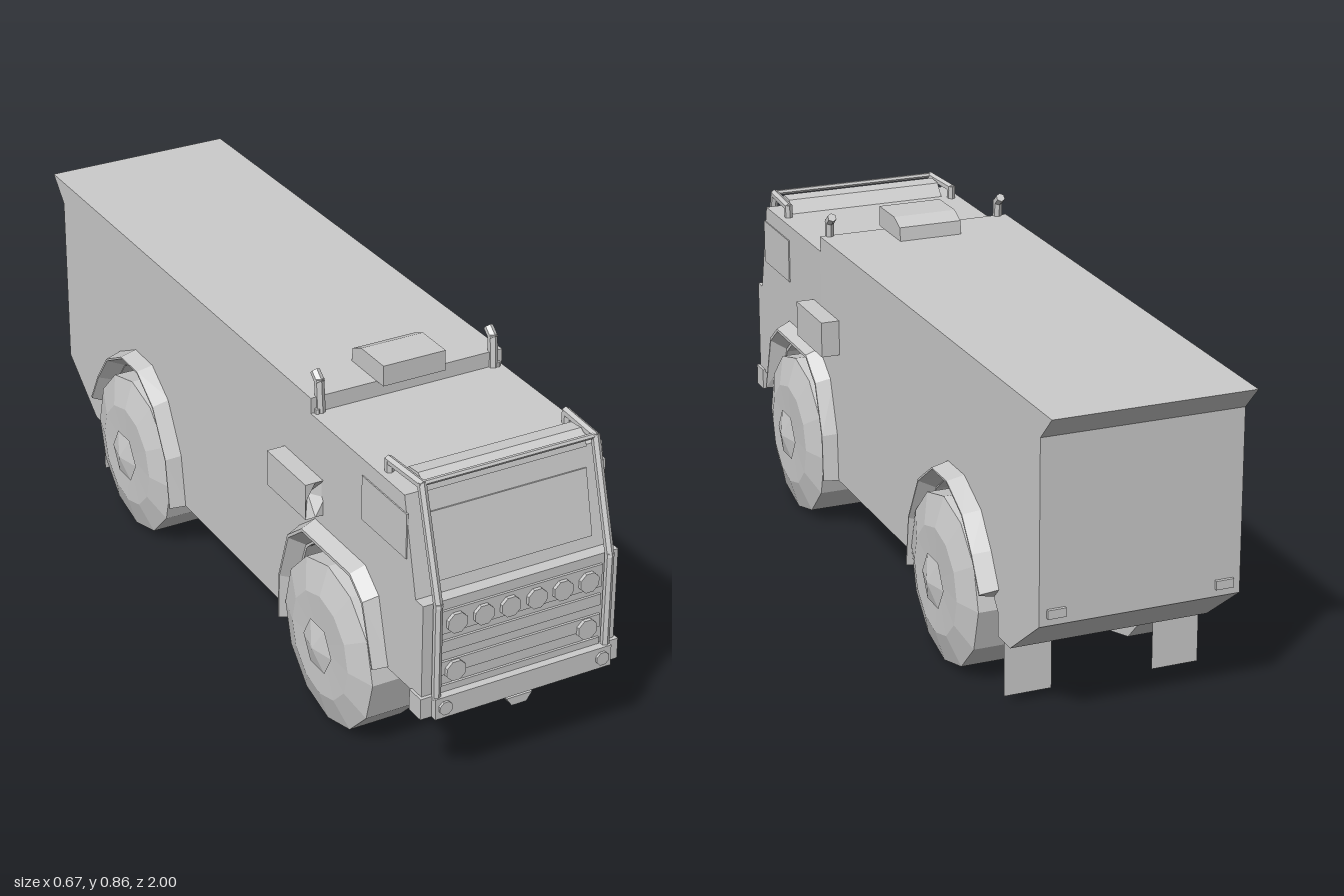
import * as THREE from 'three';

const solid = new THREE.MeshStandardMaterial({ color: 0xcccccc, flatShading: true });
const thin = new THREE.MeshStandardMaterial({ color: 0xcccccc, flatShading: true, side: THREE.DoubleSide });

// Wheel arch outlines as [z, y], running front to back
const arches = {
  front: {
    outer: [[0.82, 0.27], [0.775, 0.44], [0.71, 0.49], [0.47, 0.49], [0.39, 0.43], [0.345, 0.29], [0.34, 0.16]],
    inner: [[0.79, 0.265], [0.735, 0.39], [0.69, 0.425], [0.48, 0.425], [0.43, 0.385], [0.385, 0.27], [0.38, 0.16]],
  },
  rear: {
    outer: [[-0.23, 0.16], [-0.25, 0.3], [-0.32, 0.43], [-0.41, 0.49], [-0.51, 0.49], [-0.61, 0.44], [-0.67, 0.36], [-0.715, 0.28]],
    inner: [[-0.26, 0.16], [-0.275, 0.28], [-0.335, 0.39], [-0.42, 0.455], [-0.5, 0.455], [-0.58, 0.41], [-0.635, 0.34], [-0.685, 0.25]],
  },
};

export function createModel() {
  const model = new THREE.Group();

  const add = (name, geometry, material = solid) => {
    const mesh = new THREE.Mesh(geometry, material);
    mesh.name = name;
    model.add(mesh);
    return mesh;
  };

  const box = (name, w, h, d, x, y, z) =>
    add(name, new THREE.BoxGeometry(w, h, d).translate(x, y, z));

  // Side profile of [z, y] points, extruded across x
  const profile = (points, width) => {
    const shape = new THREE.Shape(points.map(([z, y]) => new THREE.Vector2(z, y)));
    return new THREE.ExtrudeGeometry(shape, { depth: width, bevelEnabled: false })
      .translate(0, 0, -width / 2).rotateY(-Math.PI / 2);
  };

  // Chain of straight rods through [x, y, z] points
  const rods = (name, points, radius) => {
    const group = new THREE.Group();
    group.name = name;
    for (let i = 1; i < points.length; i++) {
      const a = new THREE.Vector3(...points[i - 1]);
      const b = new THREE.Vector3(...points[i]);
      const dir = b.clone().sub(a);
      const rod = new THREE.Mesh(new THREE.CylinderGeometry(radius, radius, dir.length() + radius, 6), solid);
      rod.name = name + 'Segment';
      rod.position.copy(a).add(b).multiplyScalar(0.5);
      rod.quaternion.setFromUnitVectors(new THREE.Vector3(0, 1, 0), dir.normalize());
      group.add(rod);
    }
    model.add(group);
  };

  // Box whose front is dished to a point
  const intake = (name, w, h, d, x, y, z) => {
    const g = new THREE.BoxGeometry(w, h, d, 2, 2, 1);
    const p = g.attributes.position;
    for (let i = 0; i < p.count; i++) {
      if (Math.abs(p.getX(i)) < 1e-4 && Math.abs(p.getY(i)) < 1e-4 && p.getZ(i) > 0) p.setZ(i, d * 0.3);
    }
    add(name, g.translate(x, y, z));
  };

  // Cab
  add('cab', profile([
    [0.45, 0.757], [0.88, 0.757], [0.935, 0.515], [0.968, 0.515], [0.968, 0.27],
    ...arches.front.inner.slice(0, 4), [0.45, 0.403],
  ], 0.52));

  // Cargo body with overhanging rear lip, narrowing slightly to the back
  const cargo = profile([
    [0.45, 0.797], [0.45, 0.403], ...arches.front.inner.slice(4), ...arches.rear.inner,
    [-0.71, 0.22], [-0.71, 0.16], [-0.78, 0.16], [-0.94, 0.28], [-0.94, 0.735], [-1, 0.797],
  ].reverse(), 0.52);
  const cp = cargo.attributes.position;
  for (let i = 0; i < cp.count; i++) {
    cp.setX(i, cp.getX(i) * (1 - 0.035 * (0.45 - cp.getZ(i)) / 1.45));
  }
  add('cargoBody', cargo);

  // Flared fenders: a four-point section swept along each arch
  const section = [[0.25, 0], [0.298, 0.3], [0.298, 0.42], [0.25, 1]];
  const fender = ({ outer, inner }, side) => {
    const point = (i, j) => {
      const [x, t] = section[j];
      return [side * x,
        THREE.MathUtils.lerp(outer[i][1], inner[i][1], t),
        THREE.MathUtils.lerp(outer[i][0], inner[i][0], t)];
    };
    const v = [];
    const quad = (a, b, c, d) => v.push(...a, ...b, ...c, ...a, ...c, ...d);
    for (let i = 0; i < outer.length - 1; i++) {
      for (let j = 0; j < 3; j++) quad(point(i, j), point(i, j + 1), point(i + 1, j + 1), point(i + 1, j));
    }
    for (const i of [0, outer.length - 1]) quad(point(i, 0), point(i, 1), point(i, 2), point(i, 3));
    const g = new THREE.BufferGeometry();
    g.setAttribute('position', new THREE.Float32BufferAttribute(v, 3));
    g.computeVertexNormals();
    return g;
  };

  // Wheels: twelve-sided tyre and six-sided pointed hub
  const lathe = (points, sides) => new THREE.LatheGeometry(
    points.map(([r, a]) => new THREE.Vector2(r, a)), sides).rotateZ(-Math.PI / 2);
  const tyre = lathe([[0, 0.148], [0.212, 0.148], [0.212, 0.288], [0.135, 0.311], [0, 0.306]], 12);
  const hub = lathe([[0, 0.305], [0.068, 0.317], [0, 0.333]], 6);

  for (const [end, z] of [['front', 0.585], ['rear', -0.465]]) {
    for (const side of [1, -1]) {
      const sideName = side > 0 ? 'Left' : 'Right';
      add(end + sideName + 'Fender', fender(arches[end], side), thin);
      const wheel = new THREE.Group();
      wheel.name = end + sideName + 'Wheel';
      for (const [name, g] of [['tyre', tyre], ['hub', hub]]) {
        const mesh = new THREE.Mesh(g, solid);
        mesh.name = name;
        wheel.add(mesh);
      }
      wheel.position.set(0, 0.212, z);
      wheel.rotation.y = side > 0 ? 0 : Math.PI;
      model.add(wheel);
    }
    box(end + 'Axle', 0.32, 0.03, 0.04, 0, 0.212, z);
    box(end + 'Differential', 0.07, 0.05, 0.09, 0, 0.212, z);
  }

  // Windscreen panel, set on the sloping cab front
  const screen = box('windscreen', 0.42, 0.165, 0.008, 0, 0, 0);
  screen.position.set(0, 0.625, 0.911);
  screen.rotation.x = -Math.atan2(0.055, 0.242);

  // Grille slats
  for (const [y, h] of [[0.46, 0.06], [0.395, 0.03], [0.338, 0.035], [0.282, 0.02]]) {
    box('grilleSlat', 0.43, h, 0.008, 0, y, 0.97);
  }

  // Eight-sided lamps
  const lamp = (name, r, x, y, z) => add(name,
    new THREE.CylinderGeometry(r, r, 0.014, 8).rotateY(Math.PI / 8).rotateX(Math.PI / 2).translate(x, y, z));
  for (let i = 0; i < 6; i++) lamp('upperLamp', 0.027, (i - 2.5) * 0.0705, 0.455, 0.976);
  for (const s of [1, -1]) {
    lamp('headlamp', 0.027, s * 0.177, 0.328, 0.976);
    lamp('bumperLamp', 0.018, s * 0.212, 0.247, 0.993);
  }

  // Bumper, lower apron and tow hitch
  box('bumper', 0.475, 0.055, 0.028, 0, 0.247, 0.98);
  box('lowerApron', 0.3, 0.07, 0.02, 0, 0.235, 0.955);
  const hitch = new THREE.Shape([[-0.035, 0.2], [-0.02, 0.178], [0.02, 0.178], [0.035, 0.2]]
    .map(([x, y]) => new THREE.Vector2(x, y)));
  add('towHitch', new THREE.ExtrudeGeometry(hitch, { depth: 0.03, bevelEnabled: false }).translate(0, 0, 0.945));

  // Roof light bar
  add('roofLightBar', profile([
    [0.79, 0.755], [0.885, 0.755], [0.88, 0.78], [0.86, 0.792], [0.82, 0.788],
  ].reverse(), 0.43));
  rods('screenCrossbar', [[-0.228, 0.788, 0.9], [0.228, 0.788, 0.9]], 0.007);

  // Roof unit over the joint of cab and cargo body
  add('roofUnit', profile([
    [0.48, 0.797], [0.48, 0.85], [0.375, 0.85], [0.335, 0.832], [0.33, 0.795],
  ].reverse(), 0.168));

  // Paired fittings on both sides
  for (const s of [1, -1]) {
    box('bumperCorner', 0.032, 0.055, 0.05, s * 0.251, 0.247, 0.952);
    rods('guardBar', [
      [s * 0.228, 0.25, 0.98], [s * 0.228, 0.515, 0.98], [s * 0.228, 0.785, 0.9],
      [s * 0.235, 0.785, 0.77], [s * 0.235, 0.757, 0.77],
    ], 0.011);
    rods('exhaustStack', [[s * 0.255, 0.5, 0.455], [s * 0.245, 0.765, 0.455]], 0.007);
    rods('exhaustTip', [[s * 0.235, 0.75, 0.452], [s * 0.235, 0.835, 0.445], [s * 0.235, 0.848, 0.43]], 0.012);
    intake('sideIntake', 0.052, 0.093, 0.19, s * 0.281, 0.562, 0.415);
    box('sideWindow', 0.006, 0.115, 0.2, s * 0.26, 0.658, 0.795);
    box('tailLamp', 0.045, 0.022, 0.012, s * 0.21, 0.31, -0.942);
    add('mudFlap', new THREE.PlaneGeometry(0.12, 0.145).translate(s * 0.19, 0.092, -0.74), thin);
  }

  return model;
}
